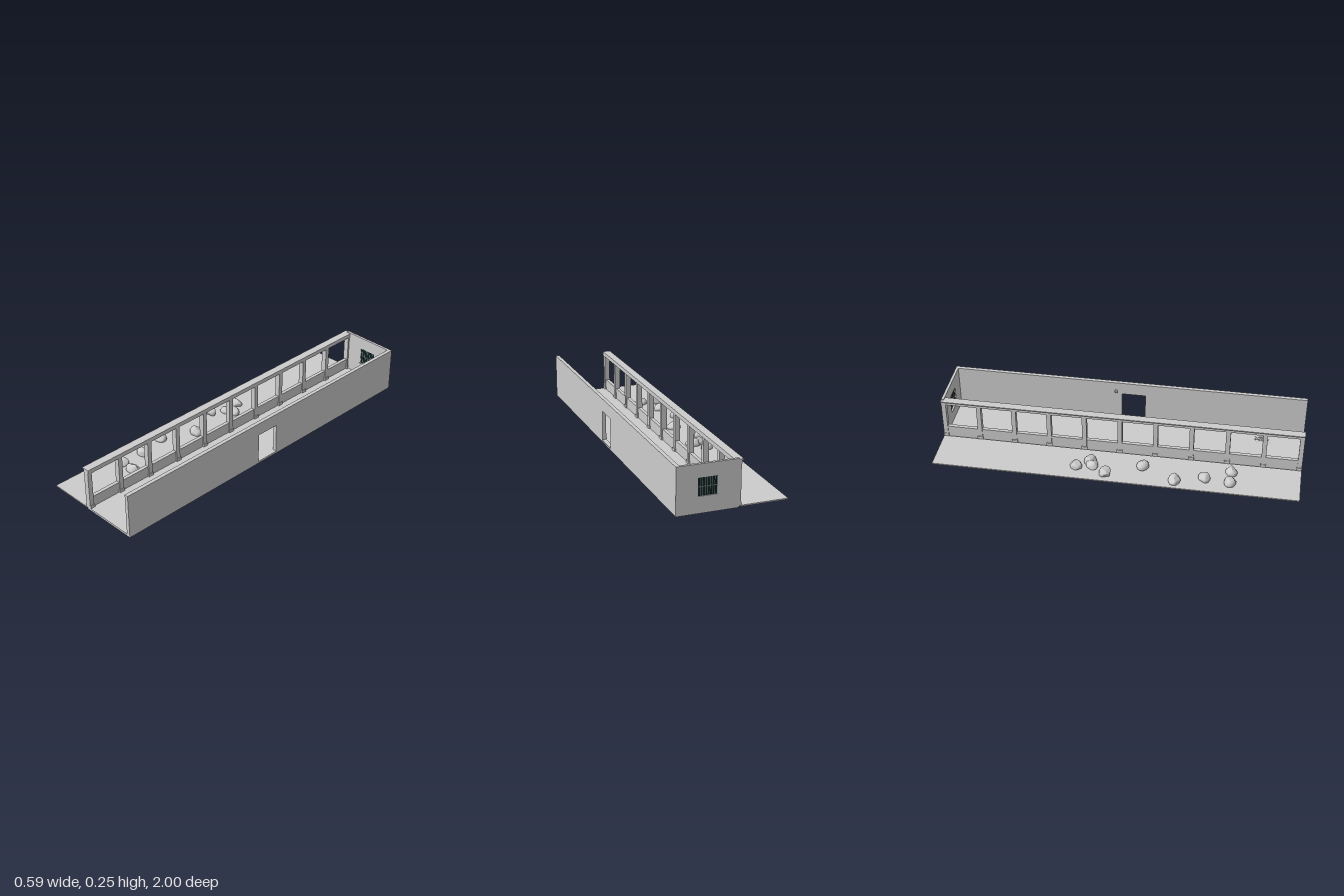
import * as THREE from 'three';
import { mergeVertices } from 'three/addons/utils/BufferGeometryUtils.js';
import { RoundedBoxGeometry } from 'three/addons/geometries/RoundedBoxGeometry.js';

const plaster = new THREE.MeshStandardMaterial({ name: 'plaster grey', color: 0xcccccc });
const glass = new THREE.MeshStandardMaterial({ name: 'dark glass', color: 0x0b2424 });
const iron = new THREE.MeshStandardMaterial({ name: 'bar grey', color: 0x8f9595 });

// Small seeded generator
function seeded(seed) {
  return () => {
    seed = (seed * 16807) % 2147483647;
    return seed / 2147483647;
  };
}

// Box given by its minimum and maximum on each axis
function slab(parent, name, material, [x0, x1], [y0, y1], [z0, z1]) {
  const mesh = new THREE.Mesh(new THREE.BoxGeometry(x1 - x0, y1 - y0, z1 - z0), material);
  mesh.position.set((x0 + x1) / 2, (y0 + y1) / 2, (z0 + z1) / 2);
  mesh.name = name;
  parent.add(mesh);
  return mesh;
}

function rectangle(path, x0, x1, y0, y1) {
  path.moveTo(x0, y0).lineTo(x1, y0).lineTo(x1, y1).lineTo(x0, y1).closePath();
  return path;
}

// Upright wall with one rectangular opening
function piercedWall(name, outline, opening, depth) {
  const shape = rectangle(new THREE.Shape(), ...outline);
  shape.holes.push(rectangle(new THREE.Path(), ...opening));
  const geometry = new THREE.ExtrudeGeometry(shape, { depth, bevelEnabled: false });
  const mesh = new THREE.Mesh(geometry, plaster);
  mesh.name = name;
  return mesh;
}

// Lumpy boulder cut flat at its base: a sphere trimmed by random planes
function boulderGeometry(seed, detail) {
  const random = seeded(seed * 7919 + 13);
  random();
  const cuts = Array.from({ length: 9 }, () => ({
    normal: new THREE.Vector3(random() - 0.5, random() * 0.8 - 0.2, random() - 0.5).normalize(),
    limit: 0.68 + random() * 0.22,
  }));
  let geometry = new THREE.IcosahedronGeometry(1, detail);
  geometry.deleteAttribute('normal');
  geometry.deleteAttribute('uv');
  geometry = mergeVertices(geometry);
  const position = geometry.attributes.position;
  const v = new THREE.Vector3();
  for (let i = 0; i < position.count; i++) {
    v.fromBufferAttribute(position, i);
    for (const { normal, limit } of cuts) {
      const over = v.dot(normal) - limit;
      if (over > 0) v.addScaledVector(normal, -over);
    }
    position.setXYZ(i, v.x, Math.max(v.y, -0.35), v.z);
  }
  geometry.computeVertexNormals();
  return geometry;
}

function addWindow(group) {
  const window = new THREE.Group();
  window.name = 'barredWindow';
  const [x0, x1, y0, y1] = [0.079, 0.179, 0.088, 0.183];
  slab(window, 'windowPane', glass, [x0, x1], [y0, y1], [-0.995, -0.99]);
  // Bars on both faces of the pane
  for (const z of [-0.997, -0.988]) {
    for (let i = 0; i <= 8; i++) {
      const x = x0 + ((x1 - x0) * i) / 8;
      slab(window, 'windowBar', iron, [x - 0.0008, x + 0.0008], [y0, y1], [z - 0.001, z + 0.001]);
    }
    slab(window, 'crossBar', iron, [x0, x1], [0.134, 0.137], [z - 0.0015, z + 0.0015]);
  }
  slab(window, 'windowSill', plaster, [0.075, 0.183], [0.085, 0.088], [-1, -0.979]);
  group.add(window);
}

function addColonnade(group) {
  const colonnade = new THREE.Group();
  colonnade.name = 'colonnade';
  const spacing = 0.1975;
  for (let i = 0; i <= 10; i++) {
    const z = (i - 5) * spacing;
    const half = 0.0125;
    slab(colonnade, 'pillar', plaster, [-0.045, -0.015], [0.008, 0.23], [z - half, z + half]);
    slab(colonnade, 'pillarBase', plaster, [-0.048, -0.011], [0.01, 0.028],
      [Math.max(z - 0.016, -1), Math.min(z + 0.016, 1)]);
    // Low wall filling the bay up to the next pillar
    if (i < 10) {
      slab(colonnade, 'parapet', plaster, [-0.04, -0.02], [0.008, 0.073],
        [z + half, z + spacing - half]);
    }
  }
  slab(colonnade, 'lintelBeam', plaster, [-0.048, -0.011], [0.225, 0.244], [-1, 1]);
  slab(colonnade, 'cornice', plaster, [-0.056, -0.011], [0.243, 0.249], [-1, 1]);
  group.add(colonnade);
}

function addBoulders(group) {
  const places = [
    [-0.2, -0.215], [-0.182, -0.13], [-0.148, -0.145], [-0.238, -0.05], [-0.145, 0.145],
    [-0.24, 0.328], [-0.195, 0.485], [-0.21, 0.625], [-0.12, 0.625],
  ];
  const random = seeded(4271);
  places.forEach(([x, z], i) => {
    const rock = new THREE.Mesh(boulderGeometry(i + 1, 4), plaster);
    rock.name = 'boulder';
    const height = 0.029 + random() * 0.004;
    rock.scale.set(0.042, height, 0.033);
    rock.position.set(x, 0.009 + height * 0.35, z);
    rock.rotation.y = (random() - 0.5) * 0.8;
    group.add(rock);
  });
}

// Pile of chips with thin cracks running out across the floor
function addRubble(group) {
  const rubble = new THREE.Group();
  rubble.name = 'rubble';
  const random = seeded(911);
  for (let i = 0; i < 18; i++) {
    const angle = random() * Math.PI * 2;
    const reach = random() * 0.035;
    const size = 0.003 + random() * 0.004;
    const chip = new THREE.Mesh(boulderGeometry(i + 30, 1), plaster);
    chip.name = 'chip';
    chip.scale.set(size * 1.3, size * 0.8, size);
    chip.position.set(0.2 + Math.cos(angle) * reach, 0.012 + size * 0.25, 0.77 + Math.sin(angle) * reach);
    chip.rotation.y = angle;
    rubble.add(chip);
  }
  for (let i = 0; i < 9; i++) {
    const angle = (i / 9) * Math.PI * 2 + random() * 0.4;
    const length = 0.025 + random() * 0.025;
    const crack = new THREE.Mesh(new THREE.BoxGeometry(length, 0.001, 0.0015), iron);
    crack.name = 'floorCrack';
    const middle = 0.02 + length / 2;
    crack.position.set(0.2 + Math.cos(angle) * middle, 0.0122, 0.77 + Math.sin(angle) * middle);
    crack.rotation.y = -angle;
    rubble.add(crack);
  }
  group.add(rubble);
}

export function createModel() {
  const group = new THREE.Group();
  group.name = 'ruinedCorridor';

  // Floors
  slab(group, 'corridorFloor', plaster, [-0.035, 0.271], [0, 0.012], [-0.985, 1]);
  slab(group, 'outerGround', plaster, [-0.298, -0.046], [0.003, 0.01], [-1, 1]);

  // Long wall with its doorway
  const longWall = piercedWall('longWall', [-1, 1, 0, 0.253], [-0.037, 0.096, 0.012, 0.181], 0.021);
  longWall.geometry.rotateY(-Math.PI / 2);
  longWall.position.x = 0.292;
  group.add(longWall);
  slab(group, 'doorThreshold', plaster, [0.27, 0.295], [0.01, 0.015], [-0.037, 0.096]);

  // Closed far end with the window opening
  const endWall = piercedWall('endWall', [-0.035, 0.271, 0, 0.253], [0.079, 0.179, 0.088, 0.183], 0.015);
  endWall.position.z = -1;
  group.add(endWall);
  addWindow(group);

  // Wall box beside the doorway
  const wallBox = new THREE.Mesh(new RoundedBoxGeometry(0.014, 0.016, 0.016, 3, 0.004), plaster);
  wallBox.name = 'wallBox';
  wallBox.position.set(0.267, 0.198, -0.07);
  group.add(wallBox);

  addColonnade(group);
  addBoulders(group);
  addRubble(group);
  return group;
}
